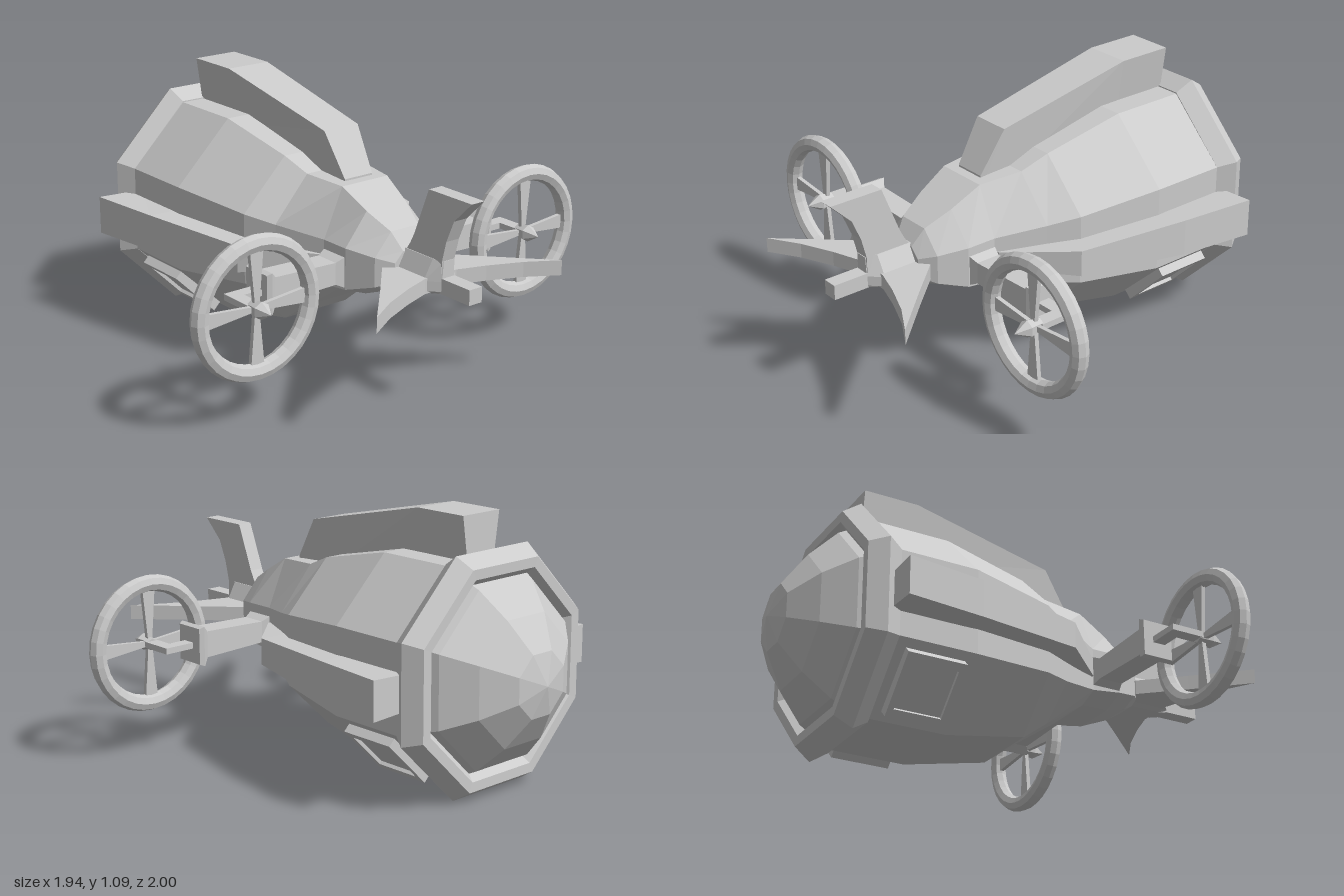
import * as THREE from 'three';

const mat = new THREE.MeshStandardMaterial({ color: 0xcccccc, flatShading: true });
const MID = 0.48; // height of the hull axis

function add(parent, name, geo, x = 0, y = 0, z = 0) {
  const m = new THREE.Mesh(geo, mat);
  m.name = name;
  m.position.set(x, y, z);
  parent.add(m);
  return m;
}

// Skins rings of points (counter-clockwise from +z, ordered back to front) and caps both ends
function loft(rings) {
  const n = rings[0].length, pos = [], idx = [];
  rings.forEach(r => r.forEach(p => pos.push(...p)));
  for (let i = 0; i < rings.length - 1; i++) {
    for (let j = 0; j < n; j++) {
      const a = i * n + j, b = i * n + (j + 1) % n;
      idx.push(a, b, a + n, b, b + n, a + n);
    }
  }
  const last = (rings.length - 1) * n;
  for (let j = 1; j < n - 1; j++) {
    idx.push(0, j + 1, j, last, last + j, last + j + 1);
  }
  const g = new THREE.BufferGeometry();
  g.setAttribute('position', new THREE.Float32BufferAttribute(pos, 3));
  g.setIndex(idx);
  const flat = g.toNonIndexed();
  flat.computeVertexNormals();
  return flat;
}

// Octagonal section: half width, half flat, top, bottom, upper and lower side corners
const oct = ([z, w, t, top, bot, su, sl]) => [
  [w, sl, z], [w, su, z], [t, top, z], [-t, top, z],
  [-w, su, z], [-w, sl, z], [-t, bot, z], [t, bot, z]];
const evenOct = ([z, r]) => oct([z, r, r * 0.415, MID + r, MID - r, MID + r * 0.415, MID - r * 0.415]);

// Fin section: inner and outer height, inner and outer half width
const finRing = ([z, lo, hi, a, b]) => [[-a, lo, z], [a, lo, z], [b, hi, z], [-b, hi, z]];
const boxRing = ([z, a, b]) => [[-a, -b, z], [a, -b, z], [a, b, z], [-a, b, z]];

const polygon = pts => new THREE.Shape(pts.map(p => new THREE.Vector2(...p)));
const extrude = (shape, depth) => new THREE.ExtrudeGeometry(shape, { depth, bevelEnabled: false })
  .translate(0, 0, -depth / 2);

const rect = (w, h) => [[-w / 2, -h / 2], [w / 2, -h / 2], [w / 2, h / 2], [-w / 2, h / 2]];

function wheel() {
  const g = new THREE.Group();
  g.name = 'wheel';
  add(g, 'rim', new THREE.TorusGeometry(0.252, 0.035, 8, 32));
  // Spokes widen towards the rim
  for (let i = 0; i < 4; i++) {
    const s = polygon([[-0.01, 0.01], [0.01, 0.01], [0.03, 0.225], [-0.03, 0.225]]);
    add(g, 'spoke', extrude(s, 0.018)).rotation.z = i * Math.PI / 2;
  }
  add(g, 'hub', new THREE.CylinderGeometry(0.036, 0.025, 0.06, 6).rotateX(Math.PI / 2), 0, 0, 0.005);
  add(g, 'hubSpike', new THREE.ConeGeometry(0.036, 0.06, 6).rotateX(Math.PI / 2), 0, 0, 0.065);
  return g;
}

function side() {
  const g = new THREE.Group();

  // Long fin along the flank
  const fin = add(g, 'sideFin', loft([
    [-0.68, 0.38, 0.59, 0.07, 0.08],
    [-0.35, 0.36, 0.55, 0.07, 0.077],
    [0.12, 0.2, 0.45, 0.045, 0.055],
    [0.35, 0.12, 0.22, 0.035, 0.035]].map(finRing)), 0, MID - 0.005, 0);
  fin.rotation.z = -Math.PI / 2;

  // Arm with flared ends, and the cranked bracket carrying the wheel
  const arm = add(g, 'arm', loft([
    [0.12, 0.065, 0.07], [0.2, 0.065, 0.065], [0.24, 0.053, 0.045], [0.53, 0.053, 0.055],
    [0.56, 0.073, 0.083], [0.58, 0.065, 0.075]].map(boxRing)), 0, 0.47, 0.422);
  arm.rotation.y = Math.PI / 2;
  const crank = polygon([[0.56, -0.455], [0.56, -0.4], [0.715, -0.4], [0.715, -0.545],
    [0.66, -0.545], [0.66, -0.455]]);
  add(g, 'bracket', extrude(crank, 0.025), 0, 0.468, 0).rotation.x = -Math.PI / 2;
  const w = wheel();
  w.position.set(0.685, 0.467, 0.56);
  g.add(w);

  // Forward-swept blade beside the nose
  const blade = polygon([[0, -0.62], [0.13, -0.62], [0.28, -0.785], [0.47, -0.988],
    [0.34, -0.91], [0.2, -0.85], [0.08, -0.81], [0, -0.81]]);
  add(g, 'sweptBlade', extrude(blade, 0.062), 0, 0.482, 0).rotation.x = -Math.PI / 2;

  // Framed hatch on the lower slanted panel
  const hatch = new THREE.Group();
  hatch.name = 'hatch';
  const frame = polygon(rect(0.25, 0.27));
  frame.holes.push(new THREE.Path(rect(0.2, 0.2).map(p => new THREE.Vector2(...p))));
  add(hatch, 'hatchFrame', extrude(frame, 0.06));
  add(hatch, 'hatchPanel', new THREE.BoxGeometry(0.2, 0.2, 0.03));
  hatch.position.set(0.315, 0.172, -0.475);
  hatch.up.set(1, 1, 0);
  hatch.lookAt(1.315, -0.828, -0.475);
  g.add(hatch);
  return g;
}

export function createModel() {
  const model = new THREE.Group();
  model.name = 'vehicle';

  // Faceted hull, tapering to the nose
  add(model, 'hull', loft([
    [-0.66, 0.435, 0.18, 0.91, 0.06, 0.66, 0.3],
    [-0.31, 0.435, 0.18, 0.91, 0.06, 0.66, 0.3],
    [0.05, 0.365, 0.16, 0.83, 0.13, 0.625, 0.33],
    [0.17, 0.3, 0.14, 0.78, 0.22, 0.6, 0.345],
    [0.36, 0.205, 0.115, 0.77, 0.35, 0.57, 0.385],
    [0.49, 0.205, 0.1, 0.7, 0.36, 0.57, 0.4],
    [0.6, 0.15, 0.07, 0.64, 0.4, 0.55, 0.43],
    [0.65, 0.09, 0.05, 0.57, 0.43, 0.53, 0.45]].map(oct)));

  // Raised rear rim and domed tail
  add(model, 'rearRim', loft([[-0.75, 0.37], [-0.78, 0.395], [-0.781, 0.435],
    [-0.71, 0.48], [-0.64, 0.435]].map(evenOct)));
  add(model, 'tailDome', loft([[-1, 0.002], [-0.97, 0.125], [-0.885, 0.25],
    [-0.78, 0.355], [-0.74, 0.375]].map(evenOct)));

  // Fin along the top
  add(model, 'topFin', loft([
    [-0.65, 0.85, 1.09, 0.065, 0.1],
    [-0.41, 0.85, 1.09, 0.065, 0.1],
    [0.21, 0.7, 0.955, 0.06, 0.085],
    [0.32, 0.7, 0.78, 0.06, 0.07]].map(finRing)));

  // Chin block and the upright horn above it
  add(model, 'chin', loft([
    [0.6, 0.08, 0.035, 0.58, 0.44, 0.5, 0.46],
    [0.8, 0.08, 0.035, 0.58, 0.44, 0.5, 0.46],
    [0.85, 0.03, 0.025, 0.58, 0.45, 0.5, 0.46]].map(oct)));
  const horn = polygon([[-0.847, 0.5], [-0.62, 0.5], [-0.65, 0.58], [-0.67, 0.61], [-0.69, 0.65],
    [-0.766, 0.845], [-0.997, 0.845], [-0.906, 0.755], [-0.868, 0.665], [-0.847, 0.58]]);
  add(model, 'noseHorn', extrude(horn, 0.064)).rotation.y = Math.PI / 2;
  add(model, 'noseBar', new THREE.BoxGeometry(0.064, 0.062, 0.38), 0, 0.482, 0.81);

  // Mirrored flanks
  for (const s of [1, -1]) {
    const flank = side();
    flank.name = s > 0 ? 'leftSide' : 'rightSide';
    flank.scale.x = s;
    model.add(flank);
  }
  return model;
}
